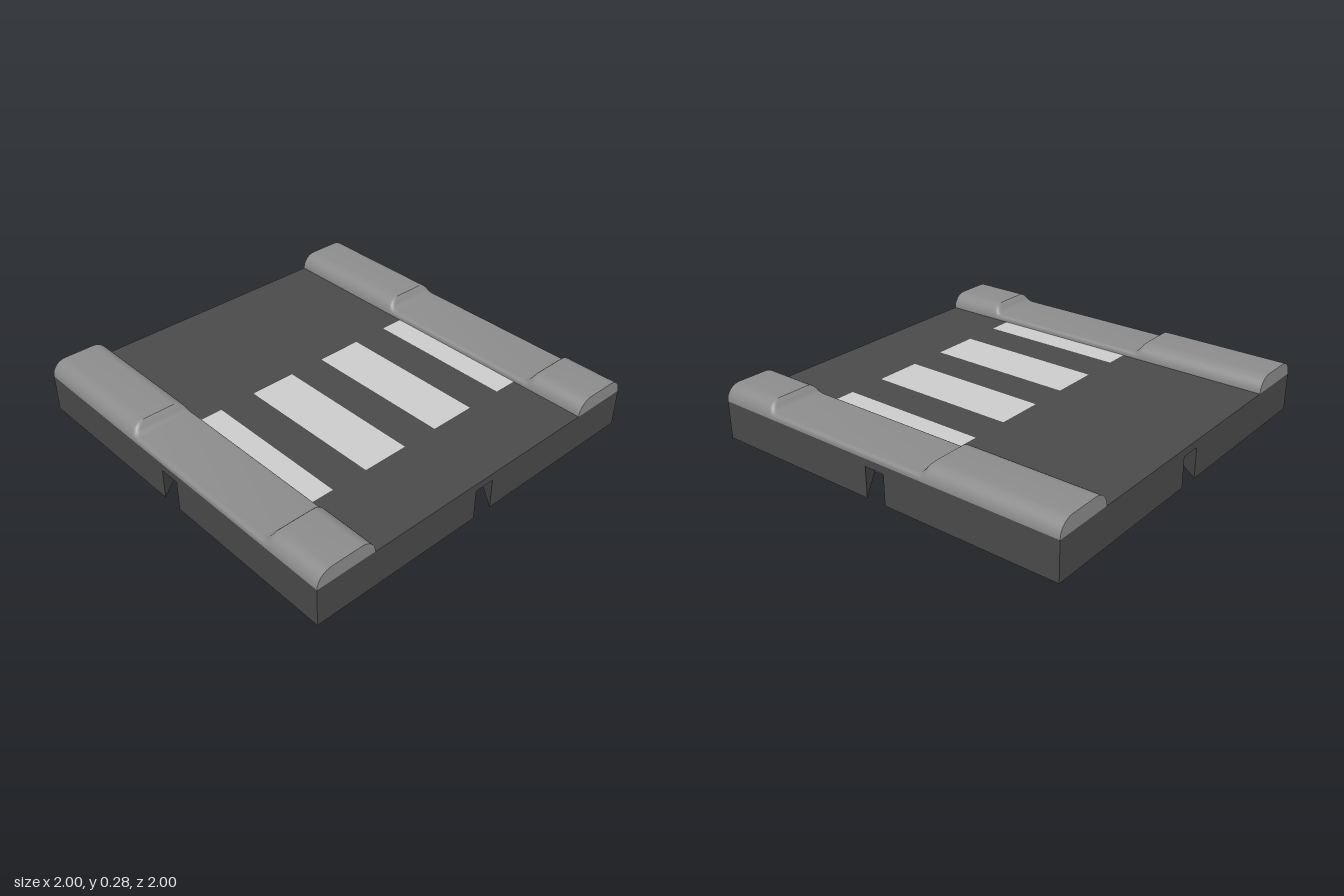
import * as THREE from 'three';
import { toCreasedNormals } from 'three/addons/utils/BufferGeometryUtils.js';

const ROAD_TOP = 0.2, NOTCH_TOP = 0.16, KERB_WIDTH = 0.32;

const paint = (color) => new THREE.MeshStandardMaterial({ color });

function addMesh(parent, name, geometry, material) {
  const mesh = new THREE.Mesh(geometry, material);
  mesh.name = name;
  parent.add(mesh);
  return mesh;
}

// Square outline with a dovetail socket in the middle of each side
function socketOutline() {
  const side = [[-1, -1], [-0.055, -1], [-0.2, -0.81], [0.2, -0.81], [0.055, -1]];
  const points = [];
  for (let i = 0; i < 4; i++) {
    for (const [x, y] of side) {
      points.push(new THREE.Vector2(x, y).rotateAround(new THREE.Vector2(), i * Math.PI / 2));
    }
  }
  return new THREE.Shape(points);
}

// Kerb cross-section at x: rounded top corners of radius r, crown at height h
function kerbSection(x, h, r) {
  const steps = 8, half = KERB_WIDTH / 2, ring = [[x, ROAD_TOP, -half]];
  for (const side of [-1, 1]) {
    for (let i = 0; i <= steps; i++) {
      const a = (side < 0 ? i : steps - i) / steps * Math.PI / 2;
      ring.push([x, h - r + r * Math.sin(a), side * (half - r + r * Math.cos(a))]);
    }
  }
  ring.push([x, ROAD_TOP, half]);
  return ring;
}

// Kerb lofted along x, dropping to a low ramp between x = -0.3 and 0.7
function kerbGeometry() {
  const drop = [[0, 0.279, 0.078], [0.008, 0.271, 0.068], [0.018, 0.253, 0.05],
    [0.027, 0.241, 0.036], [0.038, 0.233, 0.026], [0.055, 0.23, 0.02]];
  const stations = [
    [-1, 0.28, 0.079], [-0.31, 0.28, 0.079],
    ...drop.map(([d, h, r]) => [-0.3 + d, h, r]),
    ...drop.map(([d, h, r]) => [0.7 - d, h, r]).reverse(),
    [0.71, 0.28, 0.079], [1, 0.28, 0.079],
  ];
  const rings = stations.map(([x, h, r]) => kerbSection(x, h, r));
  const n = rings[0].length, last = rings.length - 1, index = [];
  for (let i = 0; i < last; i++) {
    for (let j = 0; j < n; j++) {
      const k = (j + 1) % n;
      const a = i * n + j, b = i * n + k, c = b + n, d = a + n;
      index.push(a, b, c, a, c, d);
    }
  }
  // End caps
  for (let j = 1; j < n - 1; j++) {
    index.push(0, j + 1, j);
    index.push(last * n, last * n + j, last * n + j + 1);
  }
  const geometry = new THREE.BufferGeometry();
  geometry.setAttribute('position', new THREE.Float32BufferAttribute(rings.flat(2), 3));
  geometry.setIndex(index);
  return toCreasedNormals(geometry, 0.6);
}

export function createModel() {
  const model = new THREE.Group();
  model.name = 'roadTile';
  const asphalt = paint(0x4a4a4a), stone = paint(0x8c8c8c), white = paint(0xcccccc);

  // Road slab: socketed lower layer under a solid top layer
  const base = new THREE.ExtrudeGeometry(socketOutline(), { depth: NOTCH_TOP, bevelEnabled: false });
  base.rotateX(-Math.PI / 2);
  addMesh(model, 'socketLayer', base, asphalt);
  const slabHeight = ROAD_TOP - NOTCH_TOP;
  addMesh(model, 'roadSurface', new THREE.BoxGeometry(2, slabHeight, 2), asphalt)
    .position.y = NOTCH_TOP + slabHeight / 2;

  // Kerbs along the front and back edges
  const kerb = kerbGeometry();
  for (const side of [-1, 1]) {
    addMesh(model, side > 0 ? 'frontKerb' : 'backKerb', kerb, stone)
      .position.z = side * (1 - KERB_WIDTH / 2);
  }

  // Crossing stripes
  for (const side of [-1, 1]) {
    for (const [from, to] of [[0.1, 0.35], [0.55, 0.68]]) {
      const stripe = new THREE.PlaneGeometry(0.8, to - from).rotateX(-Math.PI / 2);
      addMesh(model, 'crossingStripe', stripe, white)
        .position.set(0.2, ROAD_TOP + 0.001, side * (from + to) / 2);
    }
  }
  return model;
}
